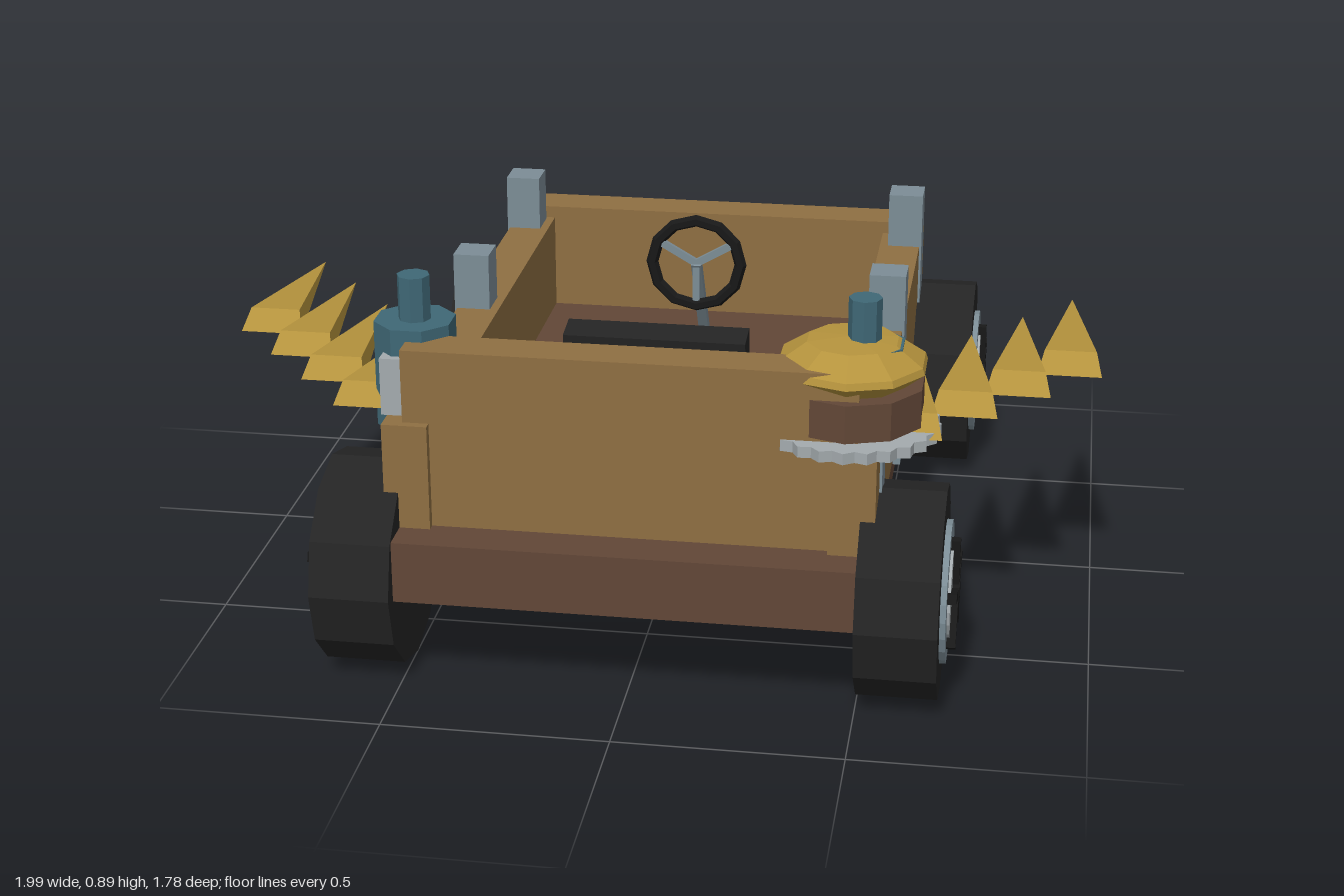
import * as THREE from 'three';

const mat = (name, color) => Object.assign(new THREE.MeshStandardMaterial({ color }), { name });

export function createModel() {
  const root = new THREE.Group();
  root.name = 'woodenCar';
  const M = {
    tan: mat('tanWood', 0x8f6f42), brown: mat('brownWood', 0x624737),
    gold: mat('gold', 0xb5933d), steel: mat('blueSteel', 0x7c8d96),
    light: mat('lightMetal', 0xa4abae), teal: mat('teal', 0x3f6876),
    rubber: mat('rubber', 0x242424), black: mat('black', 0x181818),
  };

  // Faceted mesh helper
  const add = (name, geo, material, x = 0, y = 0, z = 0, parent = root) => {
    const g = geo.index ? geo.toNonIndexed() : geo;
    g.computeVertexNormals();
    const m = new THREE.Mesh(g, material);
    m.name = name;
    m.position.set(x, y, z);
    parent.add(m);
    return m;
  };
  // Box given by its limits
  const box = (name, material, x0, x1, y0, y1, z0, z1, parent = root) =>
    add(name, new THREE.BoxGeometry(x1 - x0, y1 - y0, z1 - z0), material,
      (x0 + x1) / 2, (y0 + y1) / 2, (z0 + z1) / 2, parent);
  // Upright cylinder given by its bottom and top
  const drum = (name, material, r, y0, y1, n, x, z) =>
    add(name, new THREE.CylinderGeometry(r, r, y1 - y0, n), material, x, (y0 + y1) / 2, z);

  // Chassis and walls
  box('chassis', M.brown, -0.52, 0.52, 0.22, 0.36, -0.86, 0.85);
  box('frontWall', M.tan, -0.49, 0.49, 0.36, 0.765, 0.65, 0.75);
  box('backWall', M.tan, -0.49, 0.49, 0.36, 0.63, -0.773, -0.665);
  for (const s of [-1, 1]) {
    add('sideWall', new THREE.BoxGeometry(0.1, 0.24, 1.54), M.tan, s * 0.482, 0.48, 0);
    for (const [z, top] of [[-0.61, 0.735], [0, 0.735], [0.63, 0.6]]) {
      add('post', new THREE.BoxGeometry(0.085, top - 0.26, 0.085), M.steel, s * 0.495, (top + 0.26) / 2, z);
    }
  }

  // Raised floor planks
  for (let i = -2; i <= 2; i++) {
    box('floorPlank', M.brown, i * 0.173 - 0.072, i * 0.173 + 0.072, 0.355, 0.38, 0.36, 0.65);
  }

  // Wheels, built facing +x and turned for the other side
  for (const s of [-1, 1]) for (const z of [-0.655, 0.655]) {
    const wheel = new THREE.Group();
    wheel.name = 'wheel';
    wheel.position.set(0, 0.237, z);
    if (s < 0) wheel.rotation.y = Math.PI;
    root.add(wheel);
    const disc = (name, m, r, x0, x1, n) => add(name,
      new THREE.CylinderGeometry(r, r, x1 - x0, n).rotateZ(-Math.PI / 2), m, (x0 + x1) / 2, 0, 0, wheel);
    disc('tire', M.rubber, 0.236, 0.5, 0.677, 12);
    disc('rim', M.steel, 0.157, 0.67, 0.69, 24);
    disc('hubDisc', M.light, 0.105, 0.68, 0.696, 20);
    disc('hub', M.black, 0.026, 0.69, 0.712, 10);
    for (let i = 0; i < 5; i++) {
      const spoke = new THREE.BoxGeometry(0.022, 0.125, 0.022).translate(0, 0.0625, 0);
      add('spoke', spoke.rotateX(i * Math.PI * 2 / 5), M.black, 0.699, 0, 0, wheel);
    }
  }

  // Corner pillars with thin caps
  for (const s of [-1, 1]) {
    drum('pillar', M.teal, 0.09, 0.55, 0.79, 8, s * 0.488, 0.615).rotation.y = Math.PI / 8;
    drum('pillarCap', M.teal, 0.036, 0.78, 0.89, 8, s * 0.488, 0.615);
  }
  box('pillarPlate', M.light, -0.545, -0.485, 0.6, 0.73, 0.6, 0.715);

  // Left front turret: toothed disc, drum and dome
  const teeth = new THREE.Shape();
  for (let i = 0; i < 48; i++) {
    const a = i * Math.PI / 24, r = i % 2 ? 0.18 : 0.194;
    teeth[i ? 'lineTo' : 'moveTo'](r * Math.cos(a), r * Math.sin(a));
  }
  const blade = new THREE.ExtrudeGeometry(teeth, { depth: 0.025, bevelEnabled: false });
  add('toothedDisc', blade.rotateX(-Math.PI / 2), M.light, 0.463, 0.587, 0.615);
  drum('turretDrum', M.brown, 0.16, 0.62, 0.705, 10, 0.463, 0.615);
  const dome = [[0, 0.7], [0.115, 0.7], [0.165, 0.74], [0.16, 0.755], [0.1, 0.795], [0, 0.803]];
  add('turretDome', new THREE.LatheGeometry(dome.map(p => new THREE.Vector2(...p)), 10), M.gold, 0.463, 0, 0.615);

  // Flat backward-pointing spikes: a sloped base drawn out to one tip
  const spikeGeo = () => {
    const g = new THREE.BufferGeometry();
    g.setAttribute('position', new THREE.Float32BufferAttribute([
      -0.072, 0.6, 0, 0.072, 0.6, 0, 0.058, 0.645, -0.04, -0.058, 0.645, -0.04, 0, 0.612, -0.47], 3));
    g.setIndex([0, 1, 2, 0, 2, 3, 2, 4, 3, 1, 4, 2, 0, 3, 4, 0, 4, 1]);
    return g;
  };
  for (const s of [-1, 1]) for (let i = 0; i < 4; i++) {
    const base = spikeGeo();
    // Tips lean slightly inward or outward along the row
    base.attributes.position.setX(4, s * (-0.005 - 0.003 * (3 - i)) + s * 0.005);
    add('spike', base, M.gold, s * (0.59 + i * 0.111), 0, 0.68 - i * 0.137);
  }

  // Seat with tilted backrest
  box('seatCushion', M.rubber, -0.208, 0.205, 0.36, 0.47, -0.085, 0.33);
  const back = new THREE.Group();
  back.name = 'backrest';
  back.position.set(0, 0.44, 0.29);
  back.rotation.x = 0.16;
  root.add(back);
  box('backrestPad', M.rubber, -0.208, 0.205, -0.04, 0.25, -0.02, 0.055, back);
  box('backrestPanel', M.brown, -0.155, 0.155, 0.04, 0.22, -0.028, -0.02, back);

  // Steering wheel and column
  add('steeringRim', new THREE.TorusGeometry(0.11, 0.015, 6, 12), M.black, 0, 0.63, -0.278);
  for (let i = 0; i < 3; i++) {
    const arm = new THREE.BoxGeometry(0.018, 0.11, 0.012).translate(0, 0.055, 0);
    add('steeringSpoke', arm.rotateZ(Math.PI / 3 + i * Math.PI * 2 / 3), M.steel, 0, 0.63, -0.278);
  }
  const column = add('steeringColumn', new THREE.BoxGeometry(0.024, 0.33, 0.024), M.steel, 0, 0.493, -0.367);
  column.rotation.x = Math.atan2(0.175, 0.275);

  return root;
}
